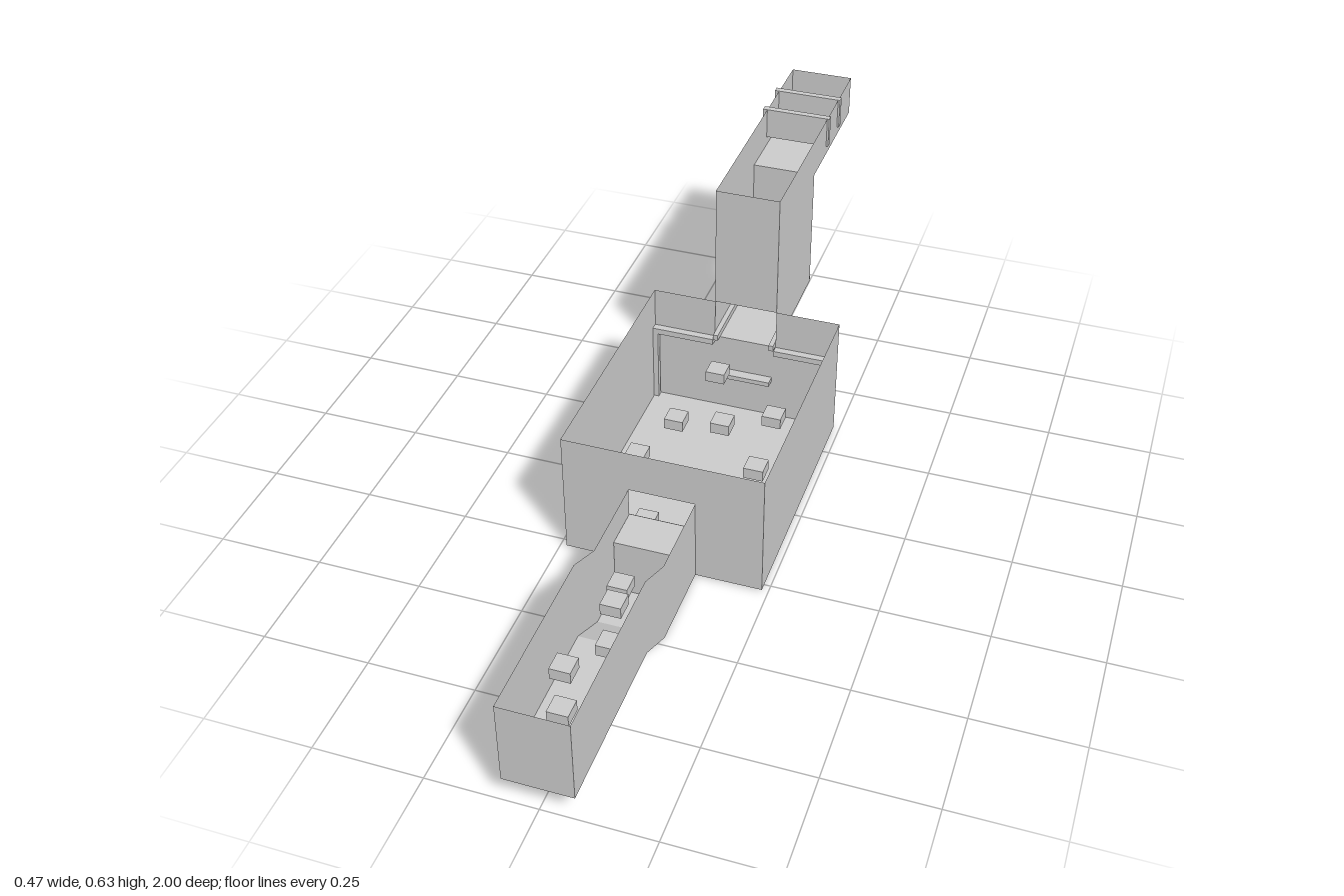
import * as THREE from 'three';

const material = new THREE.MeshStandardMaterial({
  color: 0xcccccc, flatShading: true, side: THREE.DoubleSide,
});
const HALL = 0.078; // half width of both corridors
const ROOM = 0.235; // half width of the main room
const FRONT = 0.27, BACK = -0.35, HEIGHT = 0.313;

function add(parent, name, geometry, x = 0, y = 0, z = 0) {
  const mesh = new THREE.Mesh(geometry, material);
  mesh.name = name;
  mesh.position.set(x, y, z);
  parent.add(mesh);
  return mesh;
}

const box = (parent, name, w, h, d, x, y, z) =>
  add(parent, name, new THREE.BoxGeometry(w, h, d), x, y, z);

const outline = (points) => new THREE.Shape(points.map(([a, b]) => new THREE.Vector2(a, b)));

// Upright wall across x, drawn in (x, y)
const crossWall = (parent, name, shape, z) =>
  add(parent, name, new THREE.ShapeGeometry(shape), 0, 0, z);

// Mirrored pair of upright walls, drawn in (z, y)
function sideWalls(parent, points, halfWidth) {
  for (const s of [-1, 1]) {
    const g = new THREE.ShapeGeometry(outline(points)).rotateY(-Math.PI / 2);
    add(parent, s > 0 ? 'leftWall' : 'rightWall', g, s * halfWidth);
  }
}

// Sheet swept across x along a (z, y) path
function sheet(parent, name, path, halfWidth) {
  const v = [];
  for (let i = 0; i + 1 < path.length; i++) {
    const [z0, y0] = path[i], [z1, y1] = path[i + 1];
    const a = [-halfWidth, y0, z0], b = [halfWidth, y0, z0];
    const c = [halfWidth, y1, z1], d = [-halfWidth, y1, z1];
    v.push(...a, ...c, ...b, ...a, ...d, ...c);
    // wind the floor so that it faces up whichever way the path runs
    if (z1 > z0) {
      v.splice(-18, 18, ...a, ...c, ...b, ...a, ...d, ...c);
    } else {
      v.splice(-18, 18, ...a, ...b, ...c, ...a, ...c, ...d);
    }
  }
  const g = new THREE.BufferGeometry();
  g.setAttribute('position', new THREE.Float32BufferAttribute(v, 3));
  g.computeVertexNormals();
  add(parent, name, g);
}

function group(parent, name) {
  const g = new THREE.Group();
  g.name = name;
  parent.add(g);
  return g;
}

export function createModel() {
  const model = new THREE.Group();
  model.name = 'openRooms';

  // Main room, open at the top
  const room = group(model, 'mainRoom');
  sheet(room, 'roomFloor', [[BACK, 0], [FRONT, 0]], ROOM);
  sideWalls(room, [[BACK, 0], [FRONT, 0], [FRONT, HEIGHT], [BACK, HEIGHT]], ROOM);

  // Front wall with a doorway, back wall notched by the raised doorway
  const frontWall = outline([[-ROOM, 0], [ROOM, 0], [ROOM, HEIGHT], [-ROOM, HEIGHT]]);
  frontWall.holes.push(outline([[-HALL, 0.14], [-HALL, 0.21], [HALL, 0.21], [HALL, 0.14]]));
  crossWall(room, 'frontWall', frontWall, FRONT);
  crossWall(room, 'backWall', outline([
    [-ROOM, 0], [ROOM, 0], [ROOM, HEIGHT], [HALL, HEIGHT],
    [HALL, 0.21], [-HALL, 0.21], [-HALL, HEIGHT], [-ROOM, HEIGHT],
  ]), BACK);

  // Front corridor with a ramp in its floor
  const entry = group(model, 'frontCorridor');
  const entryFloor = [[FRONT, 0], [0.48, 0], [0.59, 0.06], [1, 0.06]];
  sheet(entry, 'corridorFloor', [...entryFloor, [1, 0.265]], HALL);
  sideWalls(entry, [...entryFloor, [1, 0.265], [0.59, 0.265], [0.48, 0.21], [FRONT, 0.21]], HALL);
  box(entry, 'doorStep', 2 * HALL - 0.002, 0.138, 0.1, 0, 0.071, FRONT + 0.051);

  // Rear shaft leading up to the high corridor
  const rear = group(model, 'rearShaft');
  const rearFloor = [[BACK, 0.21], [-0.66, 0.21], [-0.66, 0.525], [-1, 0.525], [-1, 0.625]];
  sheet(rear, 'shaftFloor', rearFloor, HALL);
  sideWalls(rear, [...rearFloor, [BACK, 0.625]], HALL);
  sheet(rear, 'shaftFrontWall', [[BACK, HEIGHT], [BACK, 0.625]], HALL);

  // Gates across the high corridor
  for (const z of [-0.775, -0.88]) {
    box(rear, 'gate', 0.172, 0.077, 0.016, -0.003, 0.587, z);
  }

  // Trim along the back wall and the shaft, with a corner post
  const trim = group(model, 'trim');
  for (const s of [-1, 1]) {
    box(trim, 'wallTrim', ROOM - HALL, 0.015, 0.018, s * (ROOM + HALL) / 2, 0.203, BACK + 0.01);
    box(trim, 'shaftTrim', 0.012, 0.015, 0.335, s * 0.071, 0.218, -0.498);
  }
  box(trim, 'cornerPost', 0.014, 0.2, 0.014, -0.229, 0.101, BACK + 0.012);
  box(trim, 'backLedge', 0.14, 0.012, 0.035, 0, 0.11, -0.342);

  // Floating stepping blocks: x, y, z of each centre
  const blocks = [
    [-0.03, 0.1, 0.455], [0, 0.16, 0.57], [0.03, 0.15, 0.675], [-0.035, 0.15, 0.765], [0, 0.14, 0.865],
    [0.05, 0.012, 0.24], [0, 0.055, 0.24], [-0.05, 0.1, 0.24],
    [0, 0.14, 0.15], [0.145, 0.14, 0.03], [-0.145, 0.11, 0.035], [0.02, 0.14, -0.105],
    [-0.11, 0.09, -0.145], [0.122, 0.12, -0.193], [-0.045, 0.16, -0.27],
    [-0.056, 0.28, -0.56], [0.05, 0.4, -0.62],
  ];
  const steps = group(model, 'steppingBlocks');
  for (const [x, y, z] of blocks) box(steps, 'steppingBlock', 0.047, 0.028, 0.047, x, y, z);

  return model;
}
